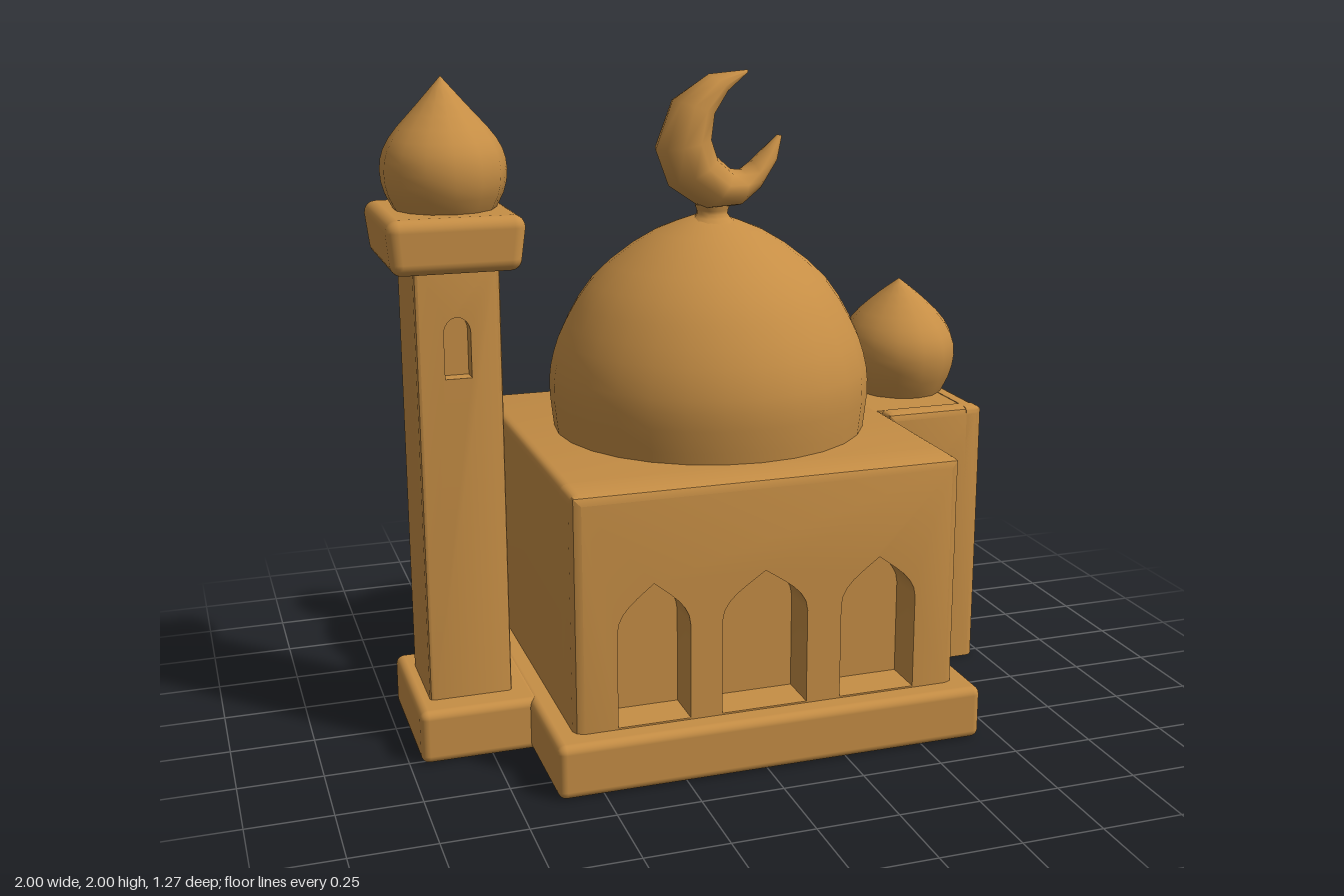
import * as THREE from 'three';
import { toCreasedNormals } from 'three/addons/utils/BufferGeometryUtils.js';
import { RoundedBoxGeometry } from 'three/addons/geometries/RoundedBoxGeometry.js';

const clay = new THREE.MeshStandardMaterial({ color: 0xc68e45 });
clay.name = 'ochre clay';

export function createModel() {
  const model = new THREE.Group();
  model.name = 'domedBuilding';

  function add(name, geometry, x = 0, y = 0, z = 0, turn = 0) {
    const mesh = new THREE.Mesh(geometry, clay);
    mesh.name = name;
    mesh.position.set(x, y, z);
    mesh.rotation.y = turn;
    model.add(mesh);
    return mesh;
  }

  // box given by its limits, with optional rounded edges
  function block(name, [x0, x1], [y0, y1], [z0, z1], r = 0) {
    const size = [x1 - x0, y1 - y0, z1 - z0];
    const g = r ? new RoundedBoxGeometry(...size, 3, r) : new THREE.BoxGeometry(...size);
    return add(name, g, (x0 + x1) / 2, (y0 + y1) / 2, (z0 + z1) / 2);
  }

  // arched opening: pointed or round
  function arch(x, bottom, width, spring, top, pointed) {
    const w = width / 2, rise = top - spring;
    const cx = w * (pointed ? 0.45 : 0.6), cy = top - rise * (pointed ? 0.3 : 0);
    const p = new THREE.Path();
    p.moveTo(x - w, bottom);
    p.lineTo(x + w, bottom);
    p.lineTo(x + w, spring);
    p.bezierCurveTo(x + w, spring + rise * 0.45, x + cx, cy, x, top);
    p.bezierCurveTo(x - cx, cy, x - w, spring + rise * 0.45, x - w, spring);
    p.closePath();
    return p;
  }

  // upright wall slab with openings; its front and top edges are rounded by r
  function wall(width, height, depth, r, holes = []) {
    const w = width / 2;
    const s = new THREE.Shape();
    s.moveTo(-w, 0);
    s.lineTo(w, 0);
    s.lineTo(w, height - r);
    s.quadraticCurveTo(w, height, w - r, height);
    s.lineTo(r - w, height);
    s.quadraticCurveTo(-w, height, -w, height - r);
    s.closePath();
    s.holes.push(...holes);
    const g = new THREE.ExtrudeGeometry(s, { depth: 3, steps: 3, bevelEnabled: false, curveSegments: 6 });
    const levels = [0, depth - r, depth - r * 0.35, depth];
    const insets = [0, 0, r * 0.3, r];
    const p = g.attributes.position;
    for (let i = 0; i < p.count; i++) {
      const k = Math.round(p.getZ(i)), a = w - insets[k];
      p.setXYZ(i, THREE.MathUtils.clamp(p.getX(i), -a, a), Math.min(p.getY(i), height - insets[k]), levels[k]);
    }
    return toCreasedNormals(g, 0.6);
  }

  // turned shape from a radius/height profile
  function turned(name, profile, sides, x, z, zScale = 1) {
    const curve = new THREE.SplineCurve(profile.map(([r, y]) => new THREE.Vector2(r, y)));
    const pts = curve.getPoints(profile.length * 2);
    pts.forEach(p => { p.x = Math.max(p.x, 0); });
    add(name, new THREE.LatheGeometry(pts, sides), x, 0, z).scale.z = zScale;
  }

  // plinths
  block('plinth', [-0.635, 0.69], [0, 0.165], [-0.64, 0.63], 0.025);
  block('minaretPlinth', [-0.965, -0.6], [0, 0.165], [-0.2, 0.28], 0.025);

  // main hall with three pointed niches
  const niches = [[-0.33, 0.22], [0.01, 0.265], [0.37, 0.24]]
    .map(([x, w]) => arch(x - 0.03, 0.03, w, 0.32, 0.46, true));
  add('hallFront', wall(1.2, 0.74, 0.13, 0.03, niches), 0.03, 0.14, 0.43);
  add('hallBody', wall(1.2, 0.74, 1.07, 0.03), 0.03, 0.14, 0.43, Math.PI);

  // side tower with a window in its front and its outer face
  block('towerCore', [0.6, 0.91], [0, 0.878], [-0.638, -0.02]);
  add('towerFront', wall(0.34, 0.88, 0.06, 0.025, [arch(-0.015, 0.39, 0.13, 0.57, 0.655, false)]), 0.8, 0, -0.02);
  add('towerSide', wall(0.68, 0.88, 0.06, 0.025, [arch(-0.035, 0.39, 0.23, 0.56, 0.67, false)]),
    0.91, 0, -0.3, Math.PI / 2);

  // minaret shaft with a window in front and back
  block('shaftCore', [-0.92, -0.67], [0.14, 1.5], [-0.05, 0.14]);
  for (const [name, z, turn, x] of [['shaftFront', 0.14, 0, -0.005], ['shaftBack', -0.05, Math.PI, 0.005]]) {
    add(name, wall(0.25, 1.36, 0.05, 0.012, [arch(x, 1.01, 0.078, 1.145, 1.19, false)]), -0.795, 0.14, z, turn);
  }

  // minaret gallery, slightly narrower below
  const gallery = block('gallery', [-1, -0.605], [1.465, 1.625], [-0.2, 0.275], 0.035);
  const gp = gallery.geometry.attributes.position;
  for (let i = 0; i < gp.count; i++) {
    if (gp.getY(i) < 0) gp.setXYZ(i, gp.getX(i) * 0.95, gp.getY(i), gp.getZ(i) * 0.95);
  }

  // domes
  turned('mainDome', [[0.49, 0.86], [0.505, 1.0], [0.495, 1.1], [0.455, 1.21], [0.365, 1.35],
    [0.21, 1.475], [0.06, 1.54], [0, 1.55]], 28, 0.05, -0.08);
  turned('towerDome', [[0.14, 0.86], [0.18, 0.95], [0.19, 1.04], [0.155, 1.12], [0.075, 1.2], [0, 1.26]],
    14, 0.81, -0.3, 1.13);
  turned('minaretDome', [[0.135, 1.6], [0.175, 1.68], [0.18, 1.76], [0.15, 1.83], [0.075, 1.915], [0, 2]],
    14, -0.795, 0.035, 1.08);

  // neck and crescent finial
  turned('finialNeck', [[0.085, 1.52], [0.05, 1.55], [0.055, 1.58], [0.06, 1.62]], 12, 0.055, -0.06);

  // rows: outer x, y, inner x, y, half thickness
  const rows = [
    [0.165, 1.99, 0.165, 1.98, 0.004], [0.04, 1.98, 0.1, 1.925, 0.045], [-0.075, 1.905, 0.055, 1.86, 0.085],
    [-0.13, 1.755, 0.045, 1.79, 0.105], [-0.09, 1.645, 0.065, 1.73, 0.105], [0.02, 1.57, 0.11, 1.69, 0.1],
    [0.13, 1.575, 0.15, 1.685, 0.085], [0.2, 1.625, 0.18, 1.71, 0.065], [0.26, 1.71, 0.215, 1.745, 0.04],
    [0.28, 1.785, 0.265, 1.79, 0.004],
  ];
  const n = 10, verts = [], faces = [];
  rows.forEach(([ox, oy, ix, iy, t], i) => {
    for (let j = 0; j < n; j++) {
      const a = (j / n) * Math.PI * 2, f = (1 + Math.cos(a)) / 2;
      verts.push(ix + (ox - ix) * f, iy + (oy - iy) * f, t * Math.sin(a));
      if (i < rows.length - 1) {
        const k = (j + 1) % n, p = i * n, q = p + n;
        faces.push(p + j, q + j, p + k, q + j, q + k, p + k);
      }
    }
  });
  const crescent = new THREE.BufferGeometry();
  crescent.setAttribute('position', new THREE.Float32BufferAttribute(verts, 3));
  crescent.setIndex(faces);
  crescent.computeVertexNormals();
  add('crescent', crescent, 0, 0, -0.05);

  return model;
}
